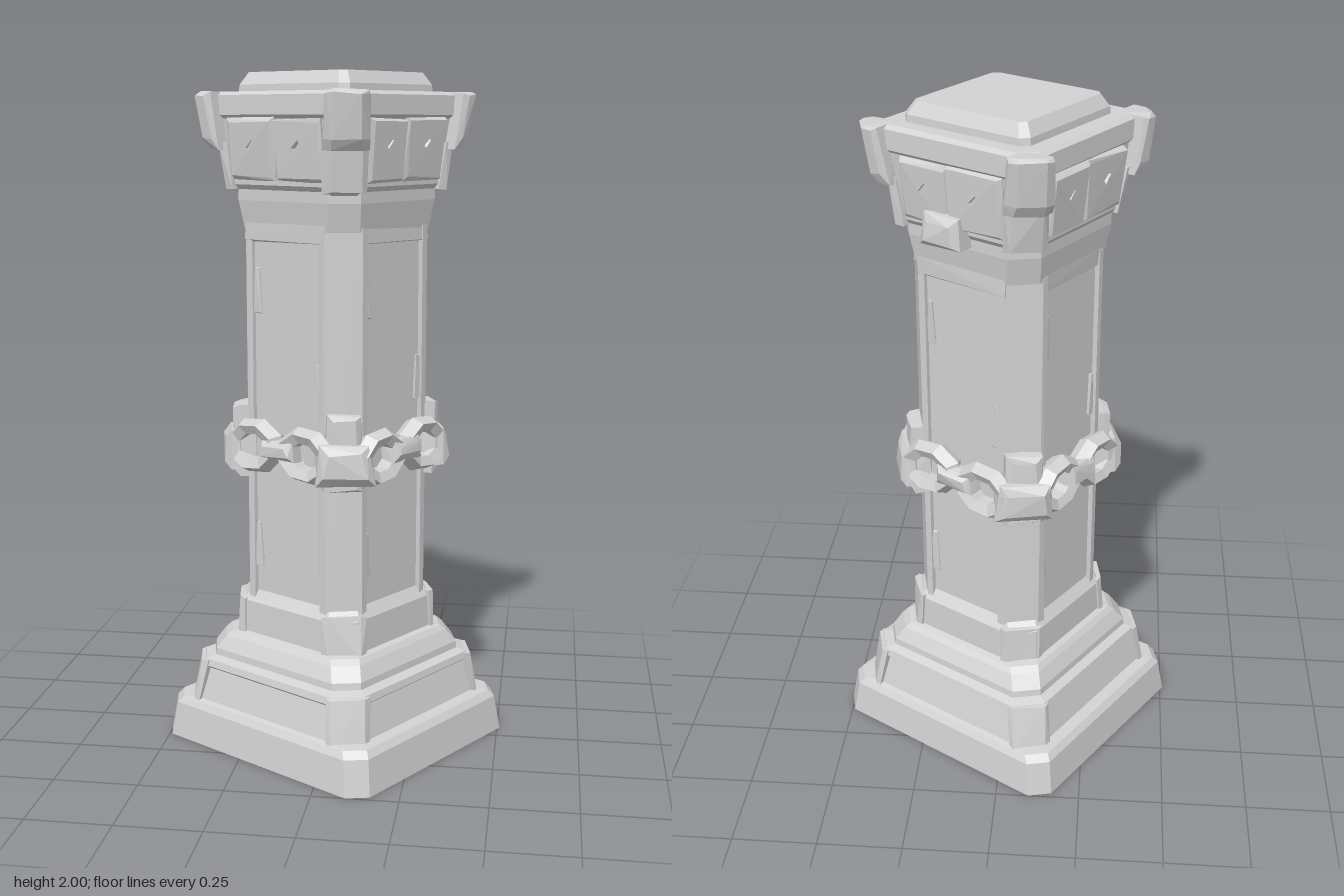
import * as THREE from 'three';
import { ConvexGeometry } from 'three/addons/geometries/ConvexGeometry.js';

export function createModel() {
  const model = new THREE.Group();
  model.name = 'stonePillar';
  const pillar = new THREE.Group();
  pillar.name = 'pillar';
  pillar.rotation.y = -0.56;
  model.add(pillar);

  const stone = new THREE.MeshStandardMaterial({ color: 0xd2d2d2, flatShading: true });
  stone.name = 'stone';

  // Small seeded generator for worn edges
  let seed = 7;
  const rnd = (s) => {
    seed = (seed * 16807) % 2147483647;
    return (seed / 2147483647 - 0.5) * 2 * s;
  };

  const add = (name, geometry, parent = pillar) => {
    const mesh = new THREE.Mesh(geometry, stone);
    mesh.name = name;
    parent.add(mesh);
    return mesh;
  };

  // Chamfered square rings [y, half size, chamfer, half depth] joined bottom to top
  function loft(rings) {
    const pos = [], idx = [];
    for (const [y, a, c, b = a] of rings) {
      const ring = [[a, b - c], [a - c, b], [c - a, b], [-a, b - c],
        [-a, c - b], [c - a, -b], [a - c, -b], [a, c - b]];
      for (const [x, z] of ring) pos.push(x, y, z);
    }
    const n = rings.length;
    for (let r = 0; r < n - 1; r++) for (let i = 0; i < 8; i++) {
      const p = r * 8 + i, q = r * 8 + (i + 1) % 8;
      idx.push(p, p + 8, q, q, p + 8, q + 8);
    }
    const top = (n - 1) * 8;
    for (let i = 1; i < 7; i++) {
      idx.push(0, i, i + 1);
      idx.push(top, top + i + 1, top + i);
    }
    const g = new THREE.BufferGeometry();
    g.setAttribute('position', new THREE.Float32BufferAttribute(pos, 3));
    g.setIndex(idx);
    g.computeVertexNormals();
    return g;
  }

  // Four convex corner stones: levels of [y, half size, chamfer], reach along each face
  function corners(name, levels, reach, wear = 0) {
    for (const sx of [1, -1]) for (const sz of [1, -1]) {
      const pts = [];
      for (const [y, a, c] of levels) {
        const inner = a - c - reach;
        for (const [x, z] of [[a, inner], [a, a - c], [a - c, a], [inner, a], [inner, inner]]) {
          pts.push(new THREE.Vector3(sx * (x + rnd(wear)), y + rnd(wear), sz * (z + rnd(wear))));
        }
      }
      add(name, new ConvexGeometry(pts));
    }
  }

  // Run a builder once on each of the four sides, facing local +z
  function sides(name, build) {
    for (let i = 0; i < 4; i++) {
      const side = new THREE.Group();
      side.name = name;
      side.rotation.y = i * Math.PI / 2;
      pillar.add(side);
      build(side);
    }
  }

  // Block with bevelled front, narrower or wider top and worn corners
  function block(w, h, d, taper = 1, wear = 0, bevel = 0) {
    const pts = [];
    for (const x of [-1, 1]) for (const y of [-1, 1]) {
      const t = y > 0 ? taper : 1;
      for (const [z, inset] of [[-d / 2, 0], [d / 2 - bevel, 0], [d / 2, bevel]]) {
        pts.push(new THREE.Vector3(x * (w / 2 * t - inset) + rnd(wear),
          y * (h / 2 - inset) + rnd(wear), z + rnd(wear)));
      }
    }
    return new ConvexGeometry(pts);
  }

  // Stepped base, hollow underneath
  add('base', loft([
    [0.2, 0.275, 0.12, 0.265], [0.05, 0.325, 0.12, 0.305], [0, 0.355, 0.05, 0.33],
    [0, 0.398, 0.05, 0.372], [0.105, 0.383, 0.05, 0.36], [0.125, 0.368, 0.05, 0.348],
    [0.13, 0.334, 0.06], [0.225, 0.31, 0.06], [0.235, 0.323, 0.07], [0.255, 0.318, 0.07],
    [0.265, 0.292, 0.06], [0.285, 0.29, 0.06], [0.325, 0.268, 0.06], [0.34, 0.255, 0.06],
    [0.345, 0.238, 0.06], [0.44, 0.234, 0.06], [0.475, 0.21, 0.06]]));
  corners('baseCornerStone', [[0.12, 0.345, 0.07], [0.252, 0.326, 0.07]], 0.02, 0.003);
  corners('baseUpperCorner', [[0.335, 0.246, 0.07], [0.45, 0.24, 0.07]], 0.02, 0.005);

  // Shaft with recessed panels between worn corner posts
  add('shaft', loft([[0.45, 0.211, 0.06], [1.6, 0.211, 0.06]]));
  corners('cornerPost', [[0.45, 0.224, 0.076], [1.0, 0.222, 0.074], [1.57, 0.224, 0.076]], 0.022, 0.002);
  sides('panelFrame', (side) => {
    const lintel = add('panelLintel', block(0.3, 0.05, 0.03, 1, 0.004), side);
    lintel.position.set(0, 1.55, 0.207);
    for (const [x, y] of [[-0.118, 0.62], [0.118, 1.12], [-0.116, 1.38]]) {
      const chip = add('edgeChip', block(0.03, 0.13, 0.012, 0.4, 0.004), side);
      chip.position.set(x, y, 0.21);
    }
  });

  // Collar and flared capital
  add('collar', loft([[1.56, 0.222, 0.065], [1.64, 0.234, 0.065], [1.675, 0.234, 0.065]]));
  add('capital', loft([
    [1.66, 0.225, 0.05], [1.685, 0.245, 0.05], [1.7, 0.245, 0.05], [1.87, 0.26, 0.05],
    [1.88, 0.272, 0.04], [1.935, 0.27, 0.04], [1.945, 0.255, 0.04]]));
  corners('capitalLowerCorner', [[1.67, 0.254, 0.06], [1.8, 0.268, 0.06]], 0.025, 0.005);
  corners('capitalHorn', [[1.785, 0.285, 0.06], [1.815, 0.298, 0.055], [1.935, 0.31, 0.05], [1.945, 0.3, 0.05]], 0.035, 0.004);
  sides('capitalFace', (side) => {
    for (const [x, w] of [[-0.088, 0.155], [0.082, 0.17]]) {
      const slab = add('capitalSlab', block(w, 0.17, 0.03, 1.08, 0.006, 0.008), side);
      slab.position.set(x, 1.785, 0.253);
      slab.rotation.x = 0.08;
      const chip = add('capitalChip', new THREE.TetrahedronGeometry(0.02), side);
      chip.position.set(x, 1.8, 0.264);
    }
  });
  const boss = add('backBoss', block(0.13, 0.09, 0.07, 0.9, 0.005, 0.018));
  boss.position.set(0.02, 1.69, -0.262);
  boss.rotation.y = Math.PI;

  // Bevelled top block
  add('topBlock', loft([[1.93, 0.21, 0.022], [1.965, 0.207, 0.022], [2, 0.185, 0.016]]));

  // Chain round the shaft: flat links, cross links and corner brackets
  sides('chainSide', (side) => {
    for (const [x, tilt] of [[-0.1, 0.1], [0.1, -0.08]]) {
      const ring = new THREE.TorusGeometry(1, 0.42, 5, 8);
      ring.rotateZ(Math.PI / 8);
      ring.scale(0.078, 0.06, 0.085);
      const link = add('chainLink', ring, side);
      link.position.set(x, 0.925 + rnd(0.008), 0.242);
      link.rotation.z = tilt;
    }
    const cross = add('crossLink', block(0.13, 0.06, 0.06, 0.85, 0.006, 0.015), side);
    cross.position.set(0, 0.93, 0.255);
    const corner = new THREE.Group();
    corner.name = 'chainCorner';
    corner.rotation.y = Math.PI / 4;
    side.add(corner);
    const bracket = add('chainBracket', block(0.115, 0.22, 0.07, 0.9, 0.007, 0.015), corner);
    bracket.position.set(0, 0.935, 0.268);
    const wrap = add('cornerLink', block(0.17, 0.11, 0.09, 0.85, 0.006, 0.022), corner);
    wrap.position.set(0, 0.91, 0.29);
  });

  return model;
}
